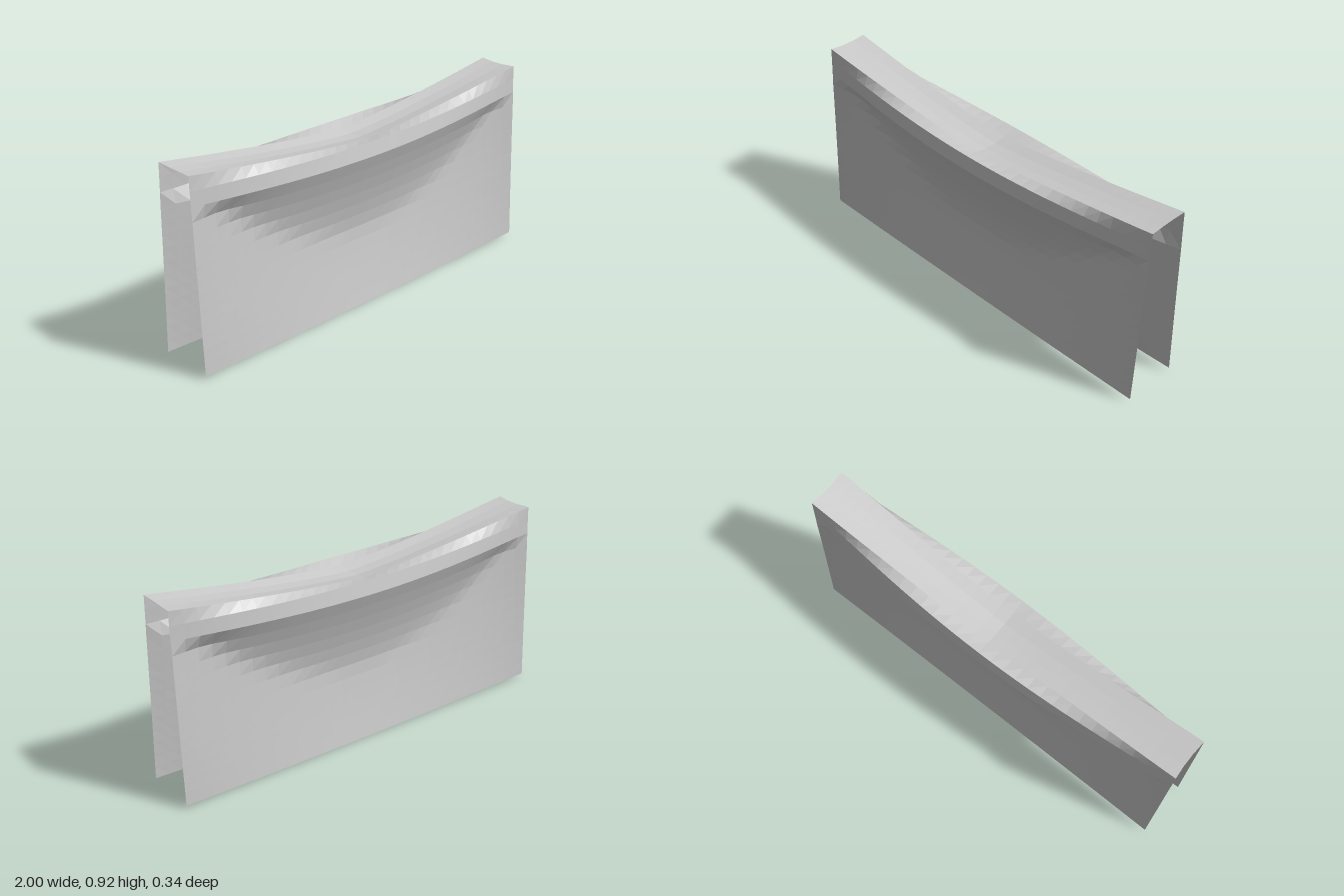
import * as THREE from 'three';

const COLS = 30, DROP = 14, TOP = 3; // cells across, down each side, over the top

// Point (y, z) of one hanging side at position x, counted in rows from the top edge
function sidePoint(x, row) {
  const a = Math.abs(x);
  const w = Math.pow(Math.max(0, 1 - x * x), 1.4); // bulge strength, fades to the ends
  if (row === 0) return [0.805 + 0.115 * Math.pow(a, 1.3), 0.1 - 0.012 * w];
  if (row === 1) return [0.82 + 0.033 * x * x, 0.102 + 0.053 * w];
  const y2 = 0.755 + 0.03 * x * x, z2 = 0.105 + 0.065 * w;
  const yBottom = 0.015 * x * x, zBottom = 0.128 + 0.007 * x * x;
  const y = THREE.MathUtils.lerp(y2, yBottom, (row - 2) / (DROP - 2));
  if (row === 2) return [y, z2];
  // valley under the bulge, an arc rising towards the ends
  const yValley = 0.36 + 0.5 * x * x, zValley = 0.07 + 0.035 * Math.pow(a, 6);
  if (y > yValley) {
    const t = (y2 - y) / (y2 - yValley);
    return [y, THREE.MathUtils.lerp(z2, zValley, 1 - Math.pow(1 - t, 1.5))];
  }
  const t = (yValley - y) / (yValley - yBottom);
  return [y, THREE.MathUtils.lerp(zValley, zBottom, Math.pow(t, 1.2))];
}

export function createModel() {
  const group = new THREE.Group();
  group.name = 'drapedCloth';

  // One sheet running from the back hem, over the top, to the front hem
  const rows = DROP * 2 + TOP;
  const geometry = new THREE.PlaneGeometry(2, 2, COLS, rows);
  const pos = geometry.attributes.position;
  for (let i = 0; i < pos.count; i++) {
    const x = pos.getX(i);
    const r = Math.floor(i / (COLS + 1));
    if (r <= DROP) {
      const [y, z] = sidePoint(x, DROP - r);
      pos.setXYZ(i, x, y, -z);
    } else if (r >= DROP + TOP) {
      const [y, z] = sidePoint(x, r - DROP - TOP);
      pos.setXYZ(i, x, y, z);
    } else {
      // slightly sagging strip over the top
      const [y, z] = sidePoint(x, 0);
      const s = ((r - DROP) / TOP) * 2 - 1;
      pos.setXYZ(i, x * 0.995, y - 0.01 + 0.006 * x * x, z * s);
    }
  }
  geometry.computeVertexNormals();

  const cloth = new THREE.Mesh(geometry, new THREE.MeshStandardMaterial({
    color: 0xcccccc, flatShading: true, side: THREE.DoubleSide,
  }));
  cloth.name = 'cloth';
  group.add(cloth);
  return group;
}
